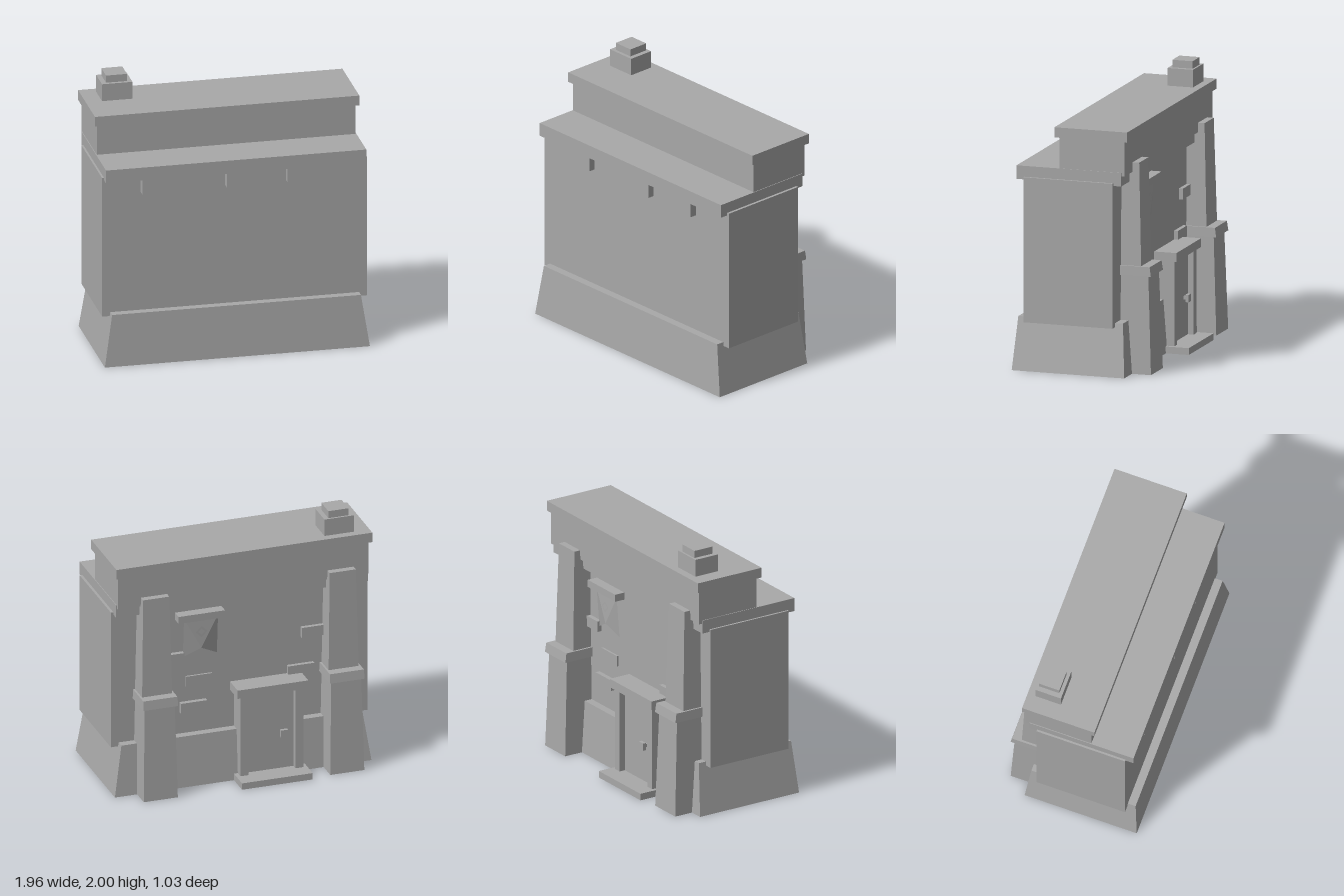
import * as THREE from 'three';

export function createModel() {
  const model = new THREE.Group();
  model.name = 'building';
  const stone = new THREE.MeshStandardMaterial({ color: 0xa8a8a8, side: THREE.DoubleSide });
  stone.name = 'grey stone';

  function add(name, geometry) {
    const mesh = new THREE.Mesh(geometry, stone);
    mesh.name = name;
    model.add(mesh);
    return mesh;
  }

  // Box given by its limits on each axis
  function block(name, x0, x1, y0, y1, z0, z1) {
    const g = new THREE.BoxGeometry(x1 - x0, y1 - y0, z1 - z0);
    g.translate((x0 + x1) / 2, (y0 + y1) / 2, (z0 + z1) / 2);
    return add(name, g);
  }

  // Tapered block: bottom and top are [x0, x1, z0, z1]; may be open underneath
  function taper(name, y0, y1, bottom, top, open = false) {
    const g = new THREE.BoxGeometry(1, 1, 1);
    const p = g.attributes.position;
    for (let i = 0; i < p.count; i++) {
      const upper = p.getY(i) > 0;
      const r = upper ? top : bottom;
      p.setXYZ(i, p.getX(i) < 0 ? r[0] : r[1], upper ? y1 : y0, p.getZ(i) < 0 ? r[2] : r[3]);
    }
    if (open) g.setIndex([...g.index.array].filter((_, i) => i < 18 || i > 23));
    g.clearGroups();
    g.computeVertexNormals();
    return add(name, g);
  }

  // Walls and flared, hollow foundation
  taper('foundation', 0, 0.39, [-0.98, 0.98, -0.34, 0.52], [-0.92, 0.92, -0.31, 0.49], true);
  block('walls', -0.98, 0.98, 0.36, 1.43, -0.25, 0.43);

  // Stepped roof
  block('cornice', -0.965, 0.96, 1.41, 1.51, -0.31, 0.49);
  block('parapet', -0.96, 0.955, 1.485, 1.745, -0.335, 0.165);
  block('roofSlab', -0.98, 0.975, 1.74, 1.815, -0.36, 0.195);

  // Chimney
  block('chimney', -0.86, -0.635, 1.81, 1.945, -0.3, -0.105);
  block('chimneyCap', -0.825, -0.67, 1.945, 2.0, -0.285, -0.13);

  // Brackets under the cornice
  for (const x of [-0.57, 0.055, 0.505]) {
    block('bracket', x - 0.125, x + 0.125, 1.3, 1.41, 0.42, 0.482);
  }

  // Buttresses with a sloped shaft, a band and a narrower upper shaft
  for (const x of [-0.745, 0.68]) {
    taper('buttressBase', 0, 0.73, [x - 0.13, x + 0.13, -0.485, -0.24], [x - 0.115, x + 0.115, -0.46, -0.24], true);
    taper('buttressBand', 0.725, 0.795, [x - 0.133, x + 0.133, -0.485, -0.24], [x - 0.13, x + 0.13, -0.475, -0.24]);
    taper('buttressShaft', 0.79, 1.555, [x - 0.115, x + 0.115, -0.405, -0.24], [x - 0.1, x + 0.1, -0.385, -0.24]);
  }

  // Doorway
  const dx = -0.2;
  block('doorStep', dx - 0.27, dx + 0.27, 0, 0.05, -0.515, -0.3);
  block('doorLintel', dx - 0.27, dx + 0.27, 0.68, 0.745, -0.42, -0.24);
  block('door', dx - 0.18, dx + 0.18, 0.05, 0.68, -0.35, -0.24);
  for (const s of [-1, 1]) {
    const x = dx + s * 0.21;
    block('doorJamb', x - 0.03, x + 0.03, 0.05, 0.68, -0.395, -0.24);
  }
  block('doorKnobStem', -0.31, -0.285, 0.325, 0.35, -0.37, -0.345);
  block('doorKnob', -0.325, -0.27, 0.31, 0.365, -0.395, -0.37);

  // Raised bricks: centre x, centre y, depth
  for (const [x, y, d] of [[0.53, 1.0, 0.035], [0.31, 0.8, 0.015], [0.355, 0.6, 0.035],
    [-0.465, 0.77, 0.03], [-0.57, 1.06, 0.03]]) {
    block('brick', x - 0.1, x + 0.1, y - 0.04, y + 0.04, -0.25 - d, -0.24);
  }

  // Hanging cloth: two folded halves with a notched lower edge
  block('bannerRail', 0.135, 0.49, 1.3, 1.355, -0.33, -0.24);
  const cx = 0.305;
  const cloth = new THREE.BufferGeometry();
  cloth.setAttribute('position', new THREE.Float32BufferAttribute([
    cx + 0.13, 1.31, -0.29, cx, 1.31, -0.29, cx - 0.13, 1.31, -0.29,
    cx + 0.13, 1.0, -0.265, cx, 1.07, -0.3, cx - 0.13, 1.0, -0.265], 3));
  cloth.setIndex([0, 4, 3, 0, 1, 4, 1, 2, 4, 2, 5, 4]);
  const flat = cloth.toNonIndexed();
  flat.computeVertexNormals();
  add('bannerCloth', flat);

  // Plain diamond ring on the cloth
  const diamond = new THREE.RingGeometry(0.025, 0.045, 4, 1);
  diamond.rotateY(Math.PI);
  diamond.translate(cx, 1.2, -0.304);
  add('bannerDiamond', diamond);

  return model;
}
